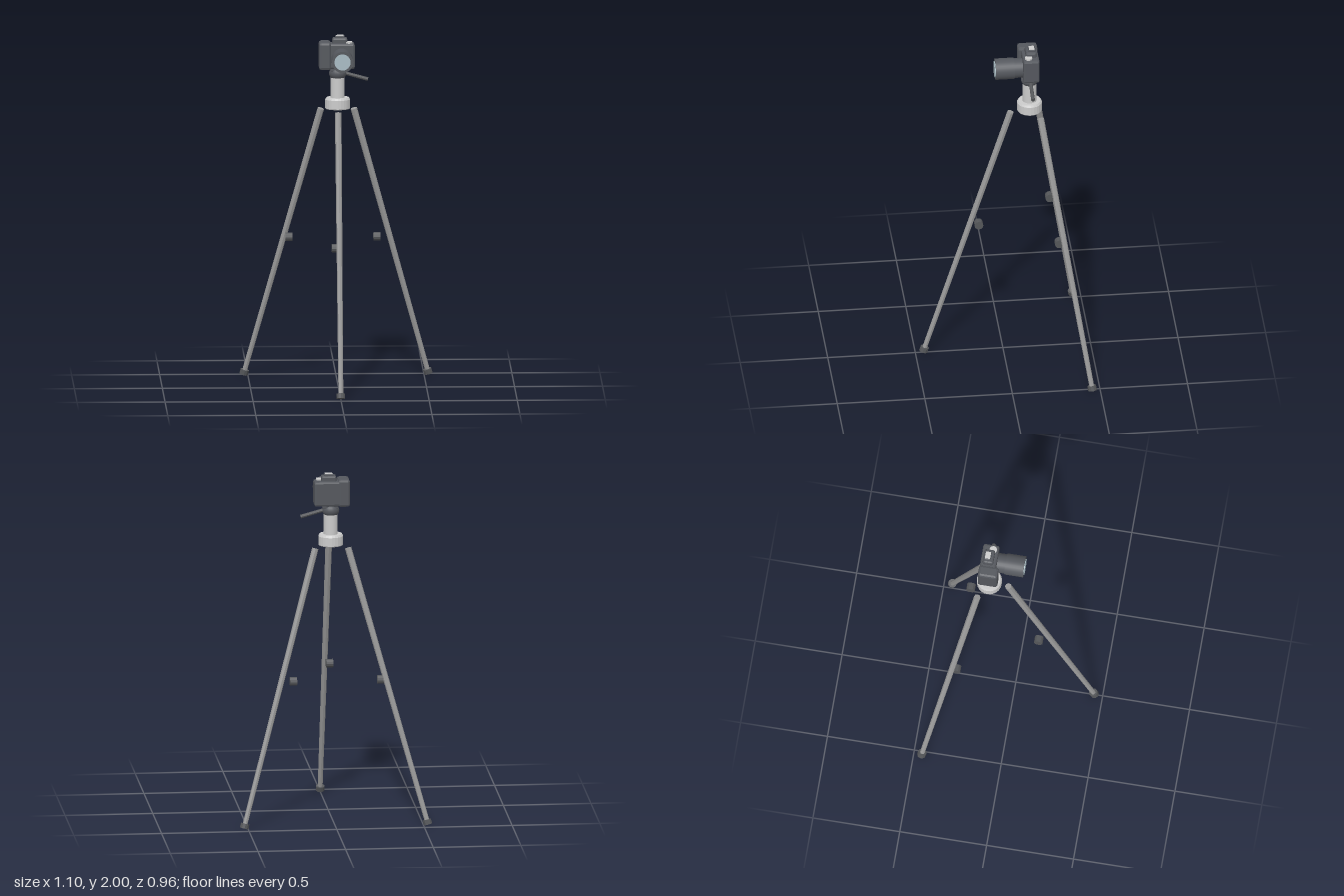
import * as THREE from 'three';
import { RoundedBoxGeometry } from 'three/addons/geometries/RoundedBoxGeometry.js';

const AXIS_Z = -0.152; // centre column of the tripod
const UP = new THREE.Vector3(0, 1, 0);

const mat = (color, flatShading = false) => new THREE.MeshStandardMaterial({ color, flatShading });
const light = mat(0xcccccc);
const legGrey = mat(0x9a9a9a, true);
const dark = mat(0x55575a, true);
const body = mat(0x55585e, true);
const barrelMat = mat(0x55585e);
const glassMat = mat(0xa9bcc4);

function add(parent, name, geometry, material, x = 0, y = 0, z = 0) {
  const mesh = new THREE.Mesh(geometry, material);
  mesh.name = name;
  mesh.position.set(x, y, z);
  parent.add(mesh);
  return mesh;
}

// Cylinder running from point a to point b
function rod(parent, name, a, b, rA, rB, sides, material) {
  const dir = b.clone().sub(a);
  const mid = a.clone().add(b).multiplyScalar(0.5);
  const mesh = add(parent, name, new THREE.CylinderGeometry(rB, rA, dir.length(), sides), material, mid.x, mid.y, mid.z);
  mesh.quaternion.setFromUnitVectors(UP, dir.normalize());
  return mesh;
}

// Box with chamfered edges, given by its limits
function chamferBox(parent, name, [x0, x1], [y0, y1], [z0, z1], r, material) {
  const geometry = new RoundedBoxGeometry(x1 - x0, y1 - y0, z1 - z0, 1, r);
  return add(parent, name, geometry, material, (x0 + x1) / 2, (y0 + y1) / 2, (z0 + z1) / 2);
}

function createTripod() {
  const tripod = new THREE.Group();
  tripod.name = 'tripod';
  tripod.position.z = AXIS_Z;

  // Three splayed legs, each with a rubber foot and a locking knob
  for (let i = 0; i < 3; i++) {
    const angle = (i * Math.PI * 2) / 3;
    const at = (radius, y) => new THREE.Vector3(Math.sin(angle) * radius, y, Math.cos(angle) * radius);
    const foot = at(0.602, 0.022);
    const top = at(0.108, 1.573);
    const along = top.clone().sub(foot).normalize().multiplyScalar(0.014);
    rod(tripod, 'leg', foot, top, 0.014, 0.019, 8, legGrey);
    rod(tripod, 'foot', foot.clone().sub(along), foot.clone().add(along), 0.025, 0.025, 10, dark);
    const k = at(0.288, 0.822);
    const knob = add(tripod, 'legKnob', new THREE.CylinderGeometry(0.025, 0.025, 0.04, 12), dark, k.x - 0.022, k.y, k.z);
    knob.rotation.z = Math.PI / 2;
  }

  // Hub and centre column
  const hub = [[0, 1.58], [0.068, 1.58], [0.071, 1.584], [0.071, 1.634], [0.064, 1.645], [0, 1.645]];
  add(tripod, 'hub', new THREE.LatheGeometry(hub.map(p => new THREE.Vector2(...p)), 24), mat(0xcccccc, true));
  add(tripod, 'column', new THREE.CylinderGeometry(0.04, 0.04, 0.13, 24), light, 0, 1.70, 0);

  // Ball head, mounting plate and pan handle
  add(tripod, 'ballHead', new THREE.SphereGeometry(0.049, 20, 14), barrelMat, 0, 1.783, 0).scale.y = 0.85;
  add(tripod, 'mountPlate', new RoundedBoxGeometry(0.09, 0.018, 0.07, 1, 0.004), body, 0.005, 1.807, 0);
  rod(tripod, 'panHandle', new THREE.Vector3(0.02, 1.79, -0.002), new THREE.Vector3(0.172, 1.748, -0.002), 0.01, 0.011, 10, dark);
  return tripod;
}

function createCamera() {
  const camera = new THREE.Group();
  camera.name = 'camera';

  // Body, hand grip and viewfinder hump
  chamferBox(camera, 'cameraBody', [-0.095, 0.097], [1.812, 1.957], [-0.201, -0.108], 0.012, body);
  chamferBox(camera, 'handGrip', [-0.107, -0.038], [1.808, 1.967], [-0.203, -0.09], 0.014, body);
  chamferBox(camera, 'viewfinderHump', [-0.03, 0.055], [1.945, 1.988], [-0.187, -0.127], 0.01, body);
  chamferBox(camera, 'accessoryShoe', [-0.014, 0.04], [1.98, 1.998], [-0.181, -0.143], 0.004, body);
  add(camera, 'shoePlate', new THREE.BoxGeometry(0.042, 0.004, 0.03), light, 0.013, 1.998, -0.162);
  add(camera, 'dial', new THREE.CylinderGeometry(0.021, 0.021, 0.014, 20), light, 0.063, 1.96, -0.14);

  // Lens, built along +z
  const lens = new THREE.Group();
  lens.name = 'lens';
  lens.position.set(0.022, 1.876, 0);
  camera.add(lens);
  const ring = (name, radius, z0, z1, material) => {
    const mesh = add(lens, name, new THREE.CylinderGeometry(radius, radius, z1 - z0, 32), material, 0, 0, (z0 + z1) / 2);
    mesh.rotation.x = Math.PI / 2;
  };
  ring('lensMount', 0.056, -0.12, -0.055, barrelMat);
  ring('lensBarrel', 0.061, -0.06, 0.047, barrelMat);
  ring('frontGlass', 0.046, 0.04, 0.052, glassMat);
  return camera;
}

export function createModel() {
  const model = new THREE.Group();
  model.name = 'cameraOnTripod';
  model.add(createTripod(), createCamera());
  return model;
}
